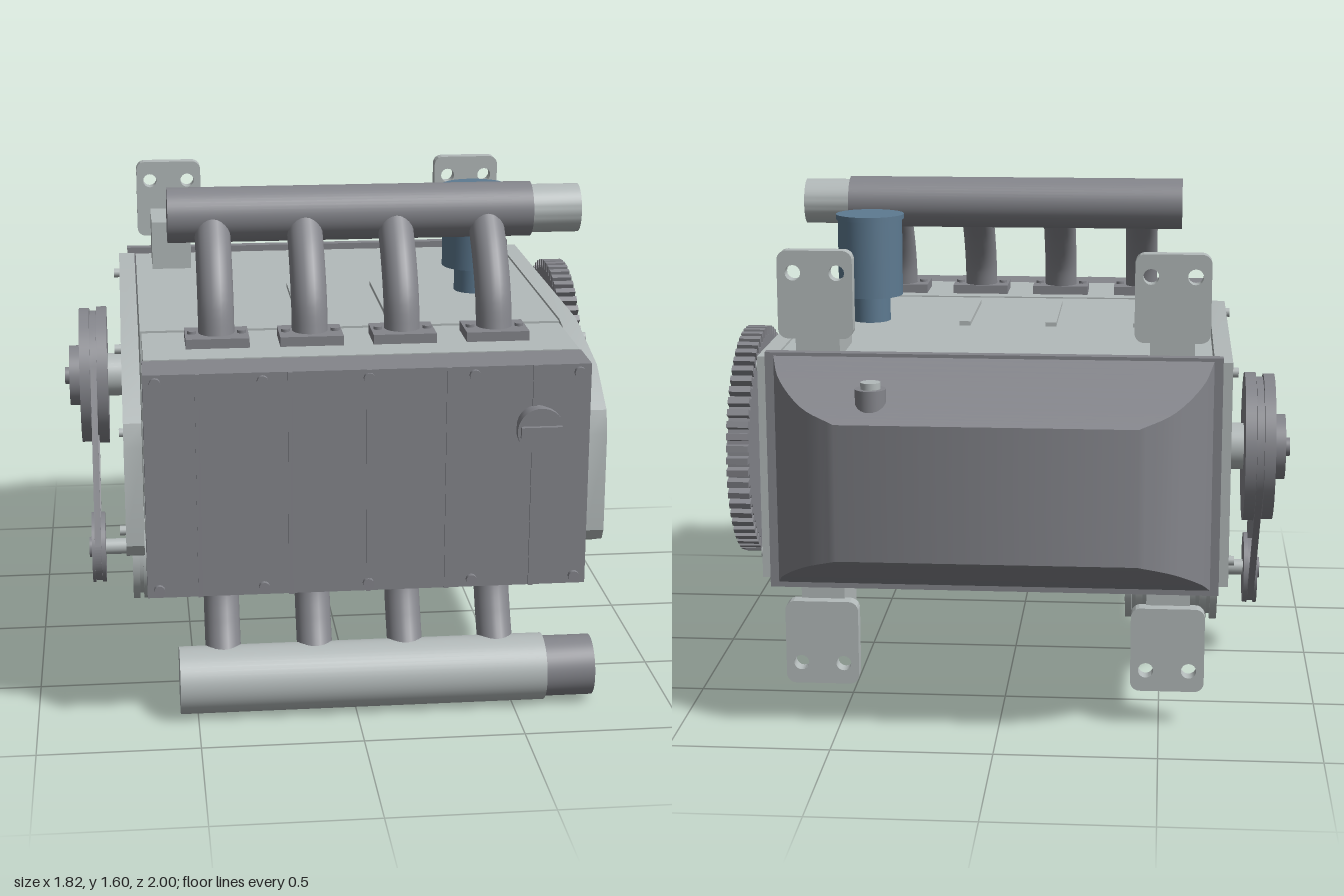
import * as THREE from 'three';
import { toCreasedNormals } from 'three/addons/utils/BufferGeometryUtils.js';

export function createModel() {
  const material = (name, color, extra = {}) => new THREE.MeshStandardMaterial({ name, color, ...extra });
  const light = material('light metal', 0xb3baba);
  const dark = material('dark metal', 0x84858b);
  const blue = material('blue paint', 0x5d7a91);
  const model = new THREE.Group();
  model.name = 'engine';
  const CX = 0.02; // the block sits slightly off centre

  const add = (name, geometry, mat) => {
    const mesh = new THREE.Mesh(geometry, mat);
    mesh.name = name;
    model.add(mesh);
    return mesh;
  };
  // box from minimum to maximum corners
  const box = (name, mat, [x0, x1], [y0, y1], [z0, z1]) =>
    add(name, new THREE.BoxGeometry(x1 - x0, y1 - y0, z1 - z0), mat)
      .position.set((x0 + x1) / 2, (y0 + y1) / 2, (z0 + z1) / 2);
  // cylinder along an axis: a..b is the range on that axis, the other two come from p
  const rod = (name, mat, axis, r, a, b, p, sides = 40) => {
    const g = new THREE.CylinderGeometry(r, r, b - a, sides);
    if (axis === 'x') g.rotateZ(-Math.PI / 2);
    if (axis === 'z') g.rotateX(Math.PI / 2);
    const mesh = add(name, g, mat);
    mesh.position.set(...p);
    mesh.position[axis] = (a + b) / 2;
  };
  // extrude a shape drawn in (-z, y) from x = a to x = b
  const extrudeX = (name, mat, shape, a, b, curveSegments = 32) => {
    let g = new THREE.ExtrudeGeometry(shape, { depth: b - a, bevelEnabled: false, curveSegments });
    g.rotateY(Math.PI / 2).translate(a, 0, 0);
    add(name, toCreasedNormals(g, 0.4), mat);
  };
  const circle = (x, y, r) => new THREE.Path().absarc(x, y, r, 0, Math.PI * 2, false);

  // block, head and valve cover
  box('block', light, [CX - 0.67, CX + 0.67], [0.46, 1.163], [-0.7, 0.41]);
  box('headGasket', dark, [CX - 0.65, CX + 0.65], [0.475, 1.145], [0.4, 0.445]);
  box('cylinderHead', light, [CX - 0.665, CX + 0.665], [0.46, 1.163], [0.435, 0.75]);
  box('valveCover', dark, [CX - 0.67, CX + 0.67], [0.46, 1.16], [0.745, 0.905]);
  for (const x of [-0.49, -0.215, CX, 0.26, 0.52])
    box('coverRib', dark, [x - 0.007, x + 0.007], [0.46, 1.16], [0.9, 0.912]);
  for (let i = -2; i <= 2; i++) for (const y of [0.485, 1.135])
    rod('coverBolt', dark, 'z', 0.017, 0.9, 0.92, [CX + i * 0.317, y, 0], 12);

  // oil filler cap
  const cap = [0.527, 0.975, 0];
  rod('fillerNeck', dark, 'z', 0.06, 0.9, 0.935, cap);
  rod('fillerStem', dark, 'z', 0.045, 0.93, 0.96, cap);
  rod('fillerCap', dark, 'z', 0.071, 0.955, 0.98, cap);
  box('fillerGrip', dark, [0.465, 0.589], [0.958, 0.992], [0.975, 0.995]);

  // shaped side plates with bolts
  const plate = new THREE.Shape([[-0.39, 1.165], [-0.71, 1.1], [-0.86, 1.0], [-0.88, 0.93], [-0.88, 0.62],
    [-0.86, 0.585], [-0.71, 0.525], [-0.43, 0.455], [0.7, 0.455], [0.7, 1.165]].map(p => new THREE.Vector2(...p)));
  for (const s of [-1, 1]) {
    extrudeX('sidePlate', light, plate, CX + s * 0.7025 - 0.0275, CX + s * 0.7025 + 0.0275);
    for (const z of [0.44, -0.6]) for (const y of [0.51, 1.115])
      rod('plateBolt', light, 'x', 0.016, CX + s * 0.735 - 0.015, CX + s * 0.735 + 0.015, [0, y, z], 12);
  }

  // stiffening ribs above and below the block
  for (const x of [-0.415, -0.125, 0.16]) for (const y of [0.455, 1.165])
    box('blockRib', light, [x - 0.018, x + 0.018], [y - 0.012, y + 0.012], [-0.13, 0.3]);

  // oil pan: rectangular sections lofted towards the back
  box('panFlange', dark, [CX - 0.7, CX + 0.7], [0.435, 1.185], [-0.732, -0.697]);
  const panCurve = new THREE.CatmullRomCurve3([[0.675, 0.365, -0.725], [0.64, 0.31, -0.83],
    [0.55, 0.245, -0.945], [0.45, 0.21, -1]].map(p => new THREE.Vector3(...p)));
  const panSections = panCurve.getPoints(14).map(({ x: w, y: h, z }) =>
    [[-w, -h], [w, -h], [w, h], [-w, h]].map(([x, y]) => [CX + x, 0.813 + y, z]));
  const panPoints = [];
  for (let k = 0; k < 14; k++) for (let j = 0; j < 4; j++) {
    const a = panSections[k][j], b = panSections[k][(j + 1) % 4];
    const c = panSections[k + 1][(j + 1) % 4], d = panSections[k + 1][j];
    panPoints.push(...a, ...d, ...c, ...a, ...c, ...b);
  }
  const end = panSections[14];
  for (const i of [0, 2, 1, 0, 3, 2]) panPoints.push(...end[i]);
  const pan = new THREE.BufferGeometry();
  pan.setAttribute('position', new THREE.Float32BufferAttribute(panPoints, 3));
  add('oilPan', toCreasedNormals(pan, 0.5), dark);
  rod('drainCollar', dark, 'y', 0.047, 1.03, 1.115, [0.37, 0, -0.91], 24);
  rod('drainPlug', light, 'y', 0.03, 1.1, 1.135, [0.37, 0, -0.91], 24);

  // four mounting brackets with drilled plates
  for (const x of [-0.525, 0.56]) for (const s of [-1, 1]) {
    const w = 0.115, h = 0.135, r = 0.03, shape = new THREE.Shape();
    shape.absarc(w - r, h - r, r, 0, Math.PI / 2);
    shape.absarc(r - w, h - r, r, Math.PI / 2, Math.PI);
    shape.absarc(r - w, r - h, r, Math.PI, Math.PI * 1.5);
    shape.absarc(w - r, r - h, r, Math.PI * 1.5, Math.PI * 2);
    for (const hx of [-0.067, 0.067]) shape.holes.push(circle(hx, s * 0.067, 0.024));
    const g = new THREE.ExtrudeGeometry(shape, { depth: 0.046, bevelEnabled: false, curveSegments: 8 });
    add('mountPlate', toCreasedNormals(g, 0.5), light).position.set(x, 0.81 + s * 0.555, -0.736);
    const ys = s > 0 ? [1.15, 1.33] : [0.29, 0.47];
    box('mountBlock', light, [x - 0.068, x + 0.068], ys, [-0.7, -0.445]);
  }

  // crankshaft, ring gear and its hub
  const crank = [0, 0.815, -0.325];
  rod('crankshaft', light, 'x', 0.075, -0.78, 0.862, crank);
  const gear = new THREE.Shape(), teeth = 60;
  for (let i = 0; i < teeth; i++)
    [[0, 0.342], [0.08, 0.37], [0.6, 0.37], [0.68, 0.342]].forEach(([f, r], j) => {
      const a = (i + f) / teeth * Math.PI * 2;
      gear[i + j ? 'lineTo' : 'moveTo'](-crank[2] + r * Math.cos(a), crank[1] + r * Math.sin(a));
    });
  extrudeX('ringGear', dark, gear, 0.79, 0.858);
  const hub = new THREE.Shape().absarc(-crank[2], crank[1], 0.153, 0, Math.PI * 2);
  hub.holes.push(circle(-crank[2], crank[1], 0.075));
  extrudeX('gearHub', dark, hub, 0.855, 0.885);
  for (let i = 0; i < 6; i++) {
    const a = i * Math.PI / 3;
    rod('hubBolt', dark, 'x', 0.018, 0.88, 0.905, [0, crank[1] + 0.115 * Math.sin(a), crank[2] + 0.115 * Math.cos(a)], 12);
  }

  // crank pulley
  for (const [r, a, b] of [[0.235, -0.855, -0.82], [0.212, -0.825, -0.79], [0.24, -0.795, -0.76],
    [0.105, -0.893, -0.85], [0.03, -0.91, -0.89]]) rod('crankPulley', dark, 'x', r, a, b, crank, 64);

  // finned alternator and its pulley
  const alt = [0, 0.3, 0.022];
  rod('alternatorCore', light, 'x', 0.162, -0.69, -0.38, alt, 48);
  for (let i = 0; i < 9; i++) {
    const x = -0.692 + i * 0.036;
    rod('alternatorFin', light, 'x', 0.18, x, x + 0.023, alt, 48);
  }
  rod('alternatorShaft', light, 'x', 0.027, -0.8, -0.68, alt, 24);
  for (const [r, a, b] of [[0.12, -0.828, -0.818], [0.1, -0.822, -0.792], [0.12, -0.796, -0.782], [0.035, -0.838, -0.825]])
    rod('alternatorPulley', dark, 'x', r, a, b, alt);

  // belt around both pulleys
  const beltLoop = (path, R, r) => {
    const dx = crank[2] - alt[2], dy = alt[1] - crank[1];
    const a = Math.atan2(dy, dx), b = Math.acos((R - r) / Math.hypot(dx, dy));
    path.absarc(-crank[2], crank[1], R, a + b, a - b + Math.PI * 2, false);
    path.absarc(-alt[2], alt[1], r, a - b, a + b, false);
    path.closePath();
    return path;
  };
  const belt = beltLoop(new THREE.Shape(), 0.226, 0.114);
  belt.holes.push(beltLoop(new THREE.Path(), 0.211, 0.099));
  extrudeX('belt', dark, belt, -0.818, -0.797);

  // blue breather on top
  for (const [r, a, b] of [[0.065, 1.16, 1.26], [0.107, 1.25, 1.51], [0.113, 1.505, 1.521]])
    rod('breather', blue, 'y', r, a, b, [0.485, 0, -0.042], 48);

  // manifolds: collector, hollow tip, four bent runners with bolted flanges
  const manifold = (name, body, tip, y, z, r, path, flangeY, flangeZ) => {
    rod(name + 'Collector', body, 'x', r, -0.555, 0.6, [0, y, z], 48);
    const o = r - 0.01, i = r - 0.032;
    const ring = new THREE.LatheGeometry([[o, 0.59], [o, 0.755], [i, 0.755], [i, 0.59], [o, 0.59]]
      .map(p => new THREE.Vector2(...p)), 48).rotateZ(-Math.PI / 2);
    add(name + 'Tip', toCreasedNormals(ring, 0.5), tip).position.set(0, y, z);
    for (const x of [-0.415, -0.125, 0.163, 0.453]) {
      const curve = new THREE.CatmullRomCurve3(path.map(([pz, py]) => new THREE.Vector3(x, py, pz)));
      add(name + 'Runner', new THREE.TubeGeometry(curve, 16, 0.056, 24), dark);
      box(name + 'Flange', dark, [x - 0.098, x + 0.098], [flangeY - 0.018, flangeY + 0.018], [flangeZ - 0.073, flangeZ + 0.073]);
      for (const s of [-1, 1])
        rod(name + 'Bolt', dark, 'y', 0.014, flangeY - 0.027, flangeY + 0.027, [x + s * 0.077, 0, flangeZ], 12);
    }
  };
  manifold('upperManifold', dark, light, 1.515, 0.325, 0.087,
    [[0.56, 1.16], [0.53, 1.28], [0.46, 1.39], [0.36, 1.49]], 1.175, 0.565);
  manifold('lowerManifold', light, dark, 0.108, 0.73, 0.106,
    [[0.58, 0.47], [0.602, 0.36], [0.65, 0.26], [0.72, 0.15]], 0.448, 0.565);

  return model;
}
